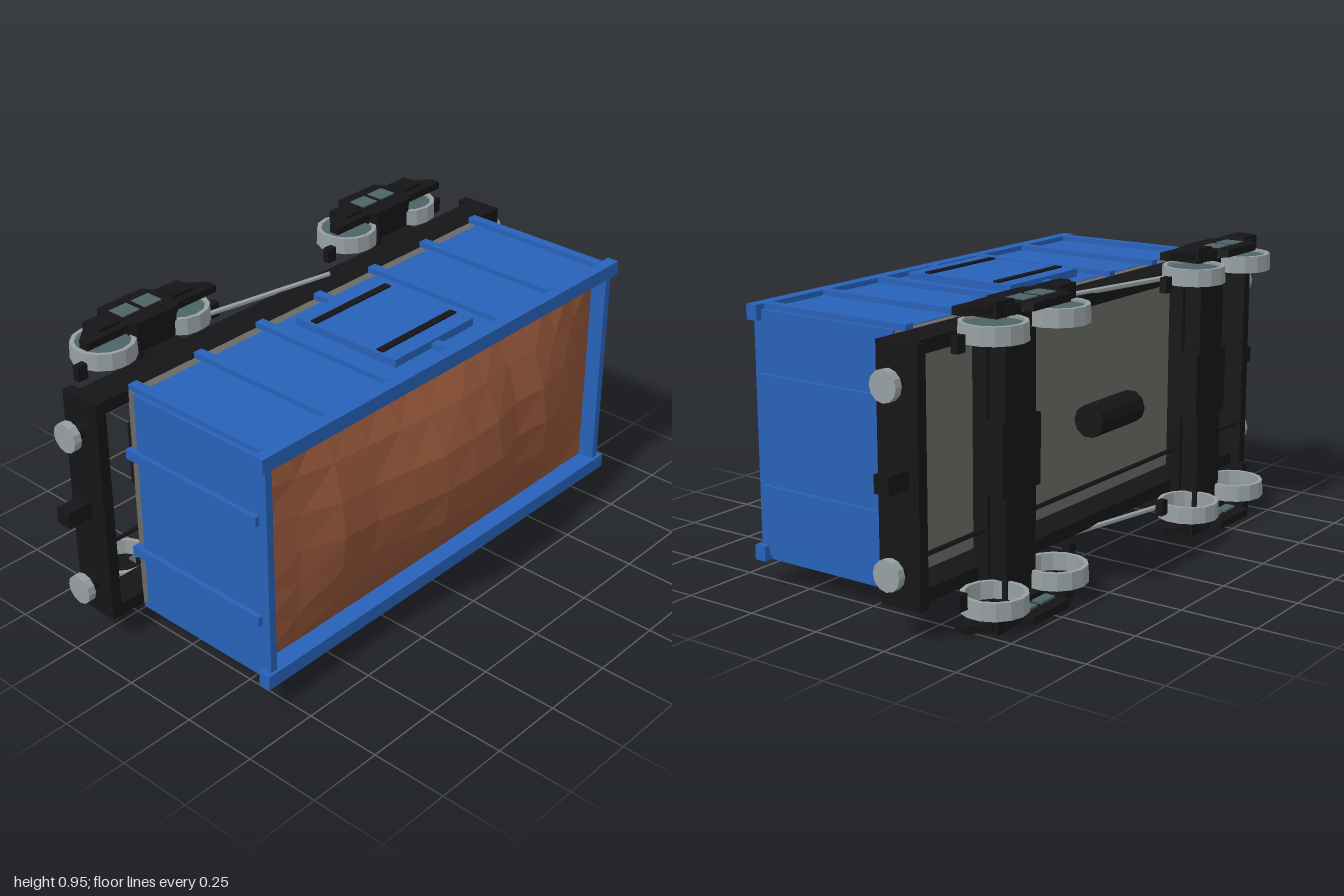
import * as THREE from 'three';

const mat = (color, extra = {}) => new THREE.MeshStandardMaterial({ color, flatShading: true, ...extra });

export function createModel() {
  const blue = mat(0x2861b8), dark = mat(0x151517), floorGrey = mat(0x6a6965);
  const steel = mat(0x969fa2, { side: THREE.DoubleSide });
  const teal = mat(0x4d6367);
  const brown = mat(0x8e5237, { side: THREE.DoubleSide });

  // The wagon lies on its side: length along x, width along y, its own "up" is +z.
  const model = new THREE.Group();
  const wagon = new THREE.Group();
  wagon.name = 'wagon';
  wagon.position.y = 0.477;
  model.add(wagon);

  const add = (name, geometry, material, parent = wagon) => {
    const mesh = new THREE.Mesh(geometry, material);
    mesh.name = name;
    parent.add(mesh);
    return mesh;
  };
  // Box given by its limits on each axis
  const box = (name, material, x0, x1, y0, y1, z0, z1, parent = wagon) => {
    const g = new THREE.BoxGeometry(Math.abs(x1 - x0), Math.abs(y1 - y0), Math.abs(z1 - z0));
    g.translate((x0 + x1) / 2, (y0 + y1) / 2, (z0 + z1) / 2);
    return add(name, g, material, parent);
  };
  // Cylinder along x
  const rod = (name, material, x, y, z, r, length, sides) => {
    const g = new THREE.CylinderGeometry(r, r, length, sides);
    g.rotateZ(Math.PI / 2);
    g.translate(x, y, z);
    return add(name, g, material);
  };

  // Floor
  box('floor', floorGrey, -0.79, 0.79, -0.375, 0.375, -0.17, -0.13);

  // Long side walls with ribs, rim, door and door bars
  for (const s of [-1, 1]) {
    box('sideWall', blue, -0.8, 0.8, s * 0.35, s * 0.377, -0.135, 0.392);
    box('sideRim', blue, -0.82, 0.82, s * 0.346, s * 0.393, 0.363, 0.403);
    for (let i = -3; i <= 3; i++) {
      const x = i * 0.257;
      box('sideRib', blue, x - 0.016, x + 0.016, s * 0.37, s * 0.394, -0.17, 0.363);
    }
    box('doorPanel', blue, -0.18, 0.18, s * 0.37, s * 0.403, -0.085, 0.315);
    for (const z of [-0.022, 0.245])
      box('doorBar', dark, -0.17, 0.17, s * 0.39, s * 0.408, z - 0.012, z + 0.012);
  }

  // End walls with ribs
  for (const s of [-1, 1]) {
    box('endWall', blue, s * 0.775, s * 0.8, -0.377, 0.377, -0.135, 0.392);
    for (const y of [-0.171, 0.171])
      box('endRib', blue, s * 0.79, s * 0.815, y - 0.016, y + 0.016, -0.17, 0.363);
  }

  // Heaped load: an uneven ridge along x that falls off to level edges, with some roughness
  const edge = 0.335;
  const ridge = [edge, 0.375, 0.43, 0.437, 0.468, 0.492, 0.496, 0.492, 0.447, 0.462, 0.43, 0.385, edge];
  const load = new THREE.PlaneGeometry(1.56, 0.71, 12, 6);
  const p = load.attributes.position;
  for (let i = 0; i < p.count; i++) {
    const v = p.getY(i) / 0.355;
    const hash = Math.sin(i * 12.9898 + 4.1) * 43758.5453;
    const noise = (hash - Math.floor(hash) - 0.5) * 0.25;
    const rise = (ridge[i % 13] - edge) * (1 - v * v);
    p.setZ(i, edge + rise * (1 + noise * Math.abs(v)));
  }
  load.computeVertexNormals();
  add('load', load, brown);

  // Underframe: sole bars and end beams
  for (const s of [-1, 1]) {
    box('soleBar', dark, -0.91, 0.91, s * 0.336, s * 0.377, -0.278, -0.168);
    box('endBeam', dark, s * 0.878, s * 0.914, -0.377, 0.377, -0.312, -0.168);
  }
  rod('brakePipe', dark, 0, -0.218, -0.305, 0.007, 1.78, 6);
  rod('airTank', dark, 0, 0, -0.333, 0.052, 0.24, 10);

  // Buffers and couplers
  for (const s of [-1, 1]) {
    for (const y of [-0.267, 0.267]) {
      rod('bufferStem', dark, s * 0.93, y, -0.242, 0.024, 0.05, 10);
      rod('bufferHead', steel, s * 0.963, y, -0.242, 0.047, 0.026, 12);
    }
    box('coupler', dark, s * 0.91, s * 1.0, -0.027, 0.027, -0.278, -0.226);
  }

  // Slanted brake rods on both sides
  for (const s of [-1, 1]) {
    const a = new THREE.Vector3(-0.32, s * 0.38, -0.335);
    const b = new THREE.Vector3(0.14, s * 0.38, -0.247);
    add('brakeRod', new THREE.TubeGeometry(new THREE.LineCurve3(a, b), 1, 0.009, 6), steel);
  }

  // Bogie side frame outline: one half, mirrored
  const half = [[0.09, -0.487], [0.105, -0.455], [0.2, -0.42], [0.24, -0.385],
    [0.258, -0.37], [0.258, -0.335], [0.1, -0.335], [0.08, -0.32]];
  const outline = [...half, ...half.map(([x, z]) => [-x, z]).reverse()];
  const frame = new THREE.Shape(outline.map(([x, z]) => new THREE.Vector2(x, z)));
  const frameGeo = new THREE.ExtrudeGeometry(frame, { depth: 0.024, bevelEnabled: false });
  frameGeo.translate(0, 0, -0.012);
  frameGeo.rotateX(Math.PI / 2);

  // Wheel tyre ring, and the web that closes its outer face
  const tyreGeo = new THREE.LatheGeometry(
    [[0.086, -0.027], [0.102, -0.027], [0.1, 0.027], [0.086, 0.027], [0.086, -0.027]]
      .map(([r, y]) => new THREE.Vector2(r, y)), 14);
  const webGeo = new THREE.CircleGeometry(0.087, 14);

  for (const end of [-1, 1]) {
    const bogie = new THREE.Group();
    bogie.name = 'bogie';
    bogie.position.x = end * 0.535;
    wagon.add(bogie);

    // Cross bolster, its centre block and the pivot block above it
    box('bolster', dark, -0.072, 0.072, -0.43, 0.43, -0.38, -0.322, bogie);
    box('bolsterCentre', dark, -0.092, 0.092, -0.108, 0.108, -0.383, -0.312, bogie);
    box('pivotBlock', dark, -0.07, 0.07, -0.375, 0.375, -0.312, -0.26, bogie);

    for (const s of [-1, 1]) {
      add('sideFrame', frameGeo, dark, bogie).position.y = s * 0.454;
      box('springSeat', dark, -0.078, 0.078, s * 0.42, s * 0.448, -0.41, -0.32, bogie);
      for (const e of [-1, 1]) {
        const x = e * 0.15;
        box('springPanel', teal, e * 0.01, e * 0.078, s * 0.435, s * 0.469, -0.445, -0.383, bogie);
        add('wheelTyre', tyreGeo, steel, bogie).position.set(x, s * 0.391, -0.395);
        const web = add('wheelWeb', webGeo, teal, bogie);
        web.rotation.x = -s * Math.PI / 2;
        web.position.set(x, s * 0.409, -0.395);
        box('axleBox', dark, x - 0.04, x + 0.04, s * 0.43, s * 0.476, -0.435, -0.362, bogie);
        box('brakeBlock', dark, e * 0.25, e * 0.285, s * 0.343, s * 0.392, -0.376, -0.352, bogie);
      }
    }
  }
  return model;
}
